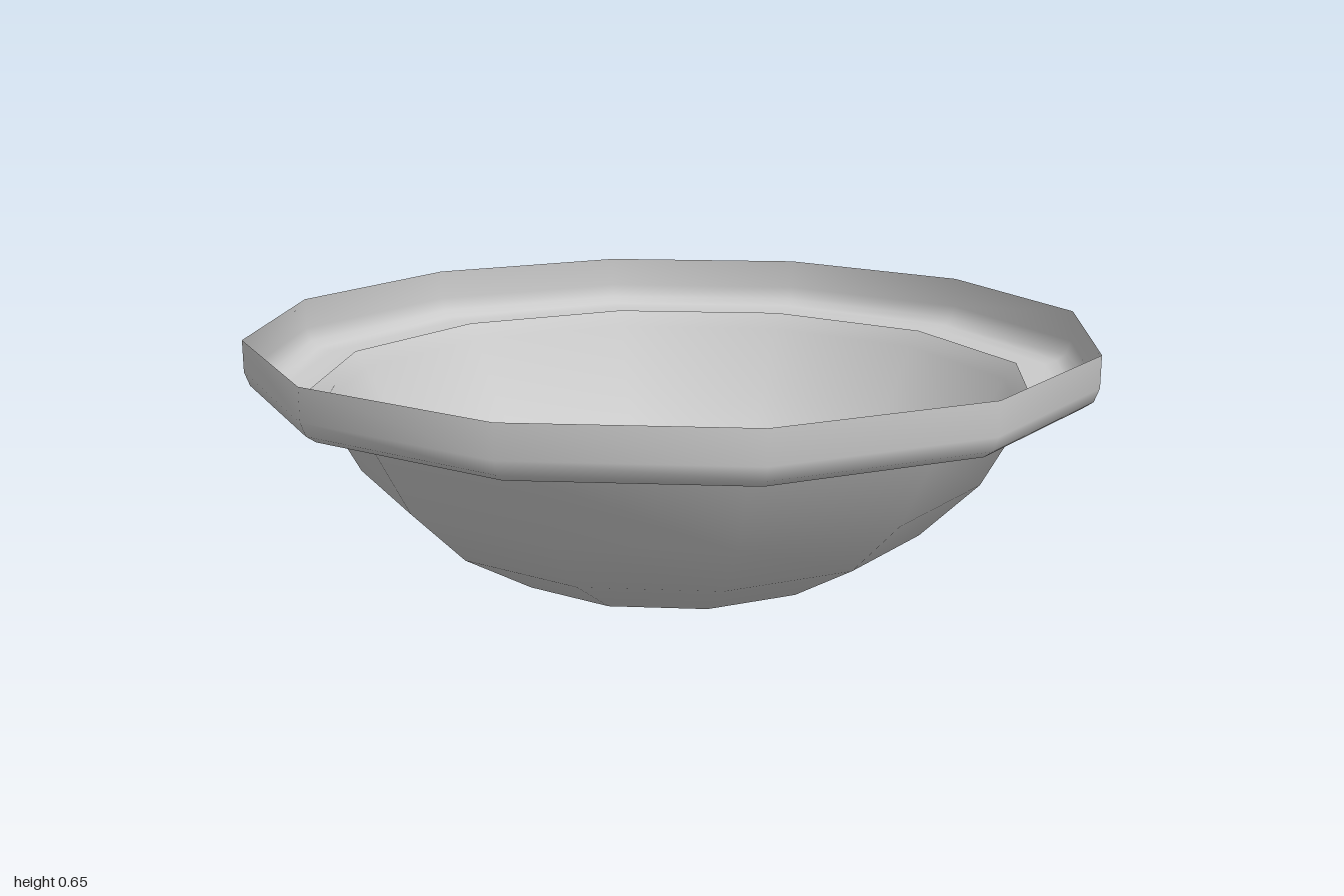
import * as THREE from 'three';

const SIDES = 12;

// Revolves a list of [radius, height] points into a thin smooth shell
function shell(name, profile) {
  const points = profile.map(([r, y]) => new THREE.Vector2(r, y));
  const material = new THREE.MeshStandardMaterial({ color: 0xcccccc, side: THREE.DoubleSide });
  const mesh = new THREE.Mesh(new THREE.LatheGeometry(points, SIDES), material);
  mesh.name = name;
  return mesh;
}

export function createModel() {
  const group = new THREE.Group();
  group.name = 'bowl';

  // Basin: flattened spherical cap in 15 degree steps, closed off at the rim
  const radius = 0.86, depth = 0.655;
  const basin = [];
  for (let i = 0; i <= 5; i++) {
    const a = THREE.MathUtils.degToRad(15 * i);
    basin.push([radius * Math.sin(a), depth * (1 - Math.cos(a)) + 0.003 * (1 - i / 5)]);
  }
  basin[0] = [0, 0];
  basin.push([radius, 0.525]);
  group.add(shell('basin', basin));

  // Rim: flat ledge that curls up into a short upright lip, open at the top
  const rim = [
    [radius, 0.52], [0.935, 0.52], [0.965, 0.527],
    [0.988, 0.543], [1, 0.575], [1, 0.65],
  ];
  group.add(shell('rim', rim));

  return group;
}
